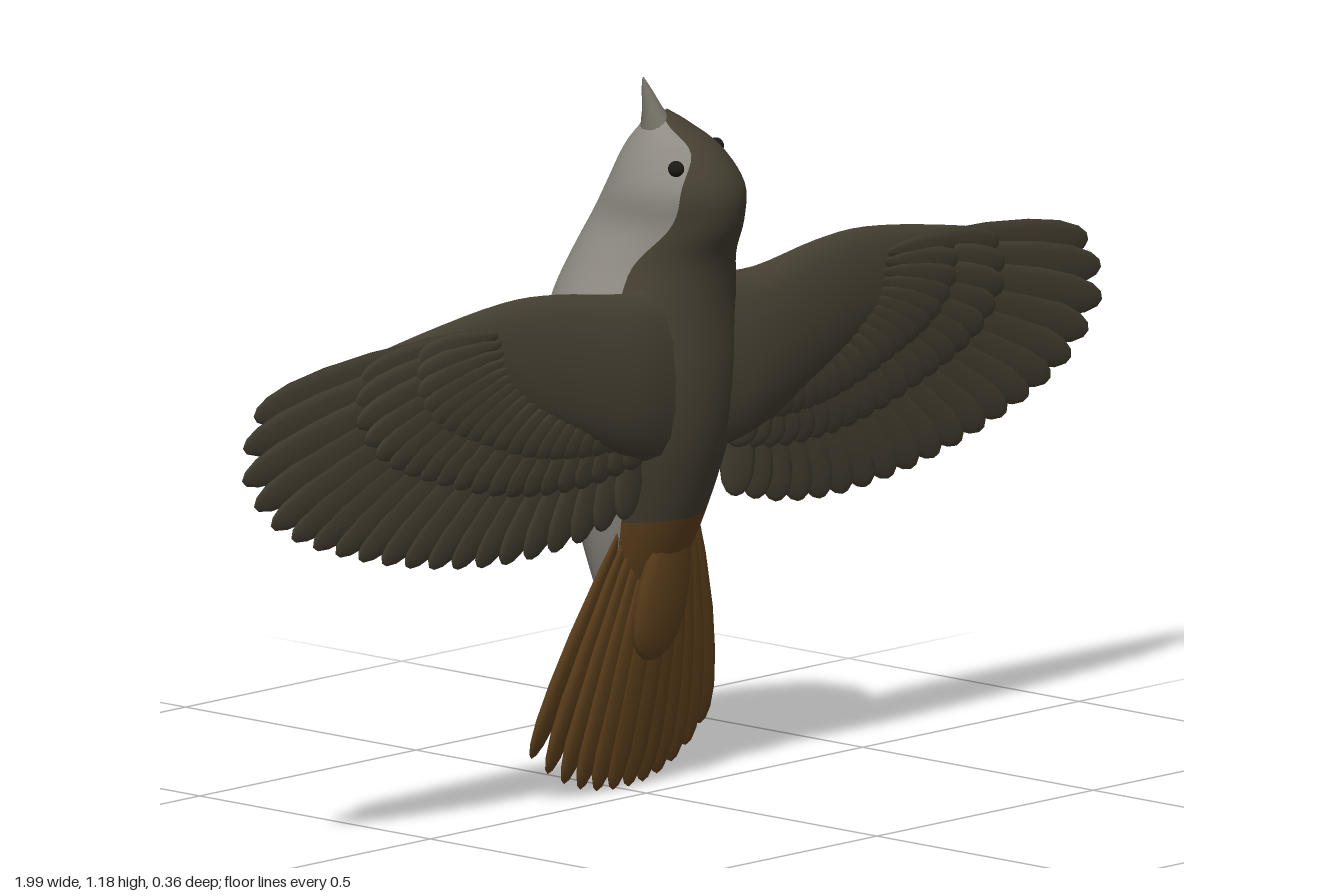
import * as THREE from 'three';

const V = (x, y, z) => new THREE.Vector3(x, y, z);
const mat = (name, color) => {
  const m = new THREE.MeshStandardMaterial({ color });
  m.name = name;
  return m;
};
const smooth = (points) => new THREE.CatmullRomCurve3(points, false, 'catmullrom', 0.5);

// Elliptical ring of points around a centre, with half axes u and v
function ring(c, u, v, n = 16) {
  return Array.from({ length: n }, (_, j) => {
    const a = (j / n) * Math.PI * 2;
    return c.clone().addScaledVector(u, Math.cos(a)).addScaledVector(v, Math.sin(a));
  });
}

// Smooth skin over closed rings; slot(i, j) picks a material index per face
function loft(rings, slot = () => 0) {
  const n = rings[0].length;
  const faces = [[], [], []];
  for (let i = 0; i < rings.length - 1; i++) {
    for (let j = 0; j < n; j++) {
      const k = (j + 1) % n;
      const a = i * n + j, b = i * n + k, c = a + n, d = b + n;
      faces[slot(i, j)].push(a, b, c, b, d, c);
    }
  }
  const g = new THREE.BufferGeometry().setFromPoints(rings.flat());
  g.setIndex(faces.flat());
  let start = 0;
  faces.forEach((f, i) => {
    if (f.length) g.addGroup(start, f.length, i);
    start += f.length;
  });
  g.computeVertexNormals();
  return g;
}

export function createModel() {
  const bird = new THREE.Group();
  bird.name = 'bird';
  const grey = mat('bellyGrey', 0x938f87);
  const dark = mat('backOlive', 0x484234);
  const brown = mat('tailBrown', 0x65451f);
  const horn = mat('beakGrey', 0x7c786d);
  const black = mat('eyeBlack', 0x1d1a16);

  const add = (parent, name, geometry, material) => {
    const m = new THREE.Mesh(geometry, material);
    m.name = name;
    parent.add(m);
    return m;
  };

  // Body and head: y, centre x, half width, back z, belly z, z of the colour edge
  const sections = [
    [1.125, -0.042, 0.012, 0.08, 0.05, 0.07],
    [1.10, -0.03, 0.04, 0.108, 0.03, 0.09],
    [1.06, -0.012, 0.075, 0.147, -0.012, 0.12],
    [1.0, 0, 0.103, 0.178, -0.05, 0.105],
    [0.94, 0.005, 0.108, 0.173, -0.09, 0.095],
    [0.88, 0.003, 0.125, 0.148, -0.122, 0.07],
    [0.8, 0, 0.15, 0.14, -0.153, 0.06],
    [0.7, 0, 0.163, 0.14, -0.17, 0.055],
    [0.6, 0, 0.15, 0.128, -0.153, 0.05],
    [0.5, 0, 0.122, 0.1, -0.122, 0.045],
    [0.4, 0, 0.092, 0.06, -0.098, 0.015],
    [0.3, 0, 0.052, 0.005, -0.073, -0.03],
    [0.22, 0, 0.003, -0.045, -0.058, -0.052],
  ];
  const widths = smooth(sections.map((s) => V(s[0], s[1], s[2])));
  const depths = smooth(sections.map((s) => V(s[3], s[4], s[5])));
  const steps = 60, half = 18, ys = [];
  const bodyRings = Array.from({ length: steps + 1 }, (_, i) => {
    const { x: y, y: cx, z: rx } = widths.getPoint(i / steps);
    const { x: front, y: rear, z: edge } = depths.getPoint(i / steps);
    const cz = (front + rear) / 2, rz = (front - rear) / 2;
    ys.push(y);
    // The head is turned, so its cap is rolled to one side
    const twist = 0.4 * THREE.MathUtils.smoothstep(y, 0.86, 1);
    const a0 = Math.asin(THREE.MathUtils.clamp((edge - cz) / rz, -0.9, 0.9));
    const a1 = Math.PI - a0 - twist;
    return Array.from({ length: half * 2 }, (_, j) => {
      const a = j < half
        ? a0 + ((a1 - a0) * j) / half
        : a1 + ((a0 + Math.PI * 2 - a1) * (j - half)) / half;
      return V(cx + rx * Math.cos(a), y, cz + rz * Math.sin(a));
    });
  });
  add(bird, 'body', loft(bodyRings, (i, j) => (j >= half ? 0 : ys[i] > 0.47 ? 1 : 2)), [grey, dark, brown]);

  // Beak, from the tip down into the face
  const beak = [[-0.074, 1.18, 0.062, 0.001], [-0.068, 1.16, 0.064, 0.008],
    [-0.058, 1.13, 0.067, 0.016], [-0.043, 1.095, 0.068, 0.03]];
  add(bird, 'beak', loft(beak.map(([x, y, z, r]) => ring(V(x, y, z), V(r, 0, 0), V(0, 0, r)))), horn);

  // Eyes
  [['leftEye', 0.056, 1.055, 0.098], ['rightEye', -0.07, 1.04, 0.13]].forEach(([name, x, y, z]) => {
    add(bird, name, new THREE.SphereGeometry(0.013, 14, 10), black).position.set(x, y, z);
  });

  // One unit feather: a flattened spindle with a rounded tip
  const outline = [[0.01, 0], [0.2, 0.02], [0.65, 0.25], [0.95, 0.5], [1, 0.7], [0.88, 0.85],
    [0.62, 0.94], [0.32, 0.985], [0, 1]].map(([x, y]) => new THREE.Vector2(x, y));
  const featherShape = new THREE.LatheGeometry(outline, 10);
  const feather = (parent, name, material, root, tip, width, thick, roll) => {
    const m = add(parent, name, featherShape, material);
    const along = tip.clone().sub(root);
    const length = along.length();
    along.normalize();
    const side = along.clone().cross(V(0, 0, 1)).normalize().applyAxisAngle(along, roll);
    const face = side.clone().cross(along);
    m.quaternion.setFromRotationMatrix(new THREE.Matrix4().makeBasis(side, along, face));
    m.position.copy(root);
    m.scale.set(width / 2, length, thick / 2);
  };

  // Wings
  const arm = [ // x, leading y, trailing y, z, half thickness
    [0.05, 0.85, 0.56, 0.085, 0.04], [0.15, 0.845, 0.58, 0.09, 0.042], [0.3, 0.865, 0.64, 0.085, 0.034],
    [0.42, 0.868, 0.69, 0.08, 0.025], [0.6, 0.843, 0.74, 0.07, 0.016], [0.8, 0.803, 0.765, 0.058, 0.007],
    [0.9, 0.78, 0.772, 0.055, 0.002],
  ];
  const roots = [[0.45, 0.825, 0.08], [0.42, 0.77, 0.08], [0.36, 0.73, 0.08], [0.28, 0.69, 0.082],
    [0.2, 0.67, 0.085], [0.12, 0.66, 0.085]];
  const tips = [[0.965, 0.762, 0.053], [1, 0.69, 0.056], [0.975, 0.63, 0.054], [0.92, 0.575, 0.053],
    [0.8, 0.52, 0.053], [0.62, 0.47, 0.056], [0.43, 0.443, 0.06], [0.27, 0.447, 0.068], [0.13, 0.475, 0.075]];
  for (const s of [1, -1]) {
    const wing = new THREE.Group();
    wing.name = s > 0 ? 'leftWing' : 'rightWing';
    bird.add(wing);
    const armA = smooth(arm.map((p) => V(p[0], p[1], p[2])));
    const armB = smooth(arm.map((p) => V(p[3], p[4], 0)));
    const armRings = Array.from({ length: 25 }, (_, i) => {
      const { x, y: top, z: low } = armA.getPoint(i / 24);
      const { x: z, y: r } = armB.getPoint(i / 24);
      return ring(V(s * x, (top + low) / 2, z), V(0, (top - low) / 2, 0), V(0, 0, s * r));
    });
    add(wing, 'wingArm', loft(armRings), dark);

    const rootCurve = smooth(roots.map(([x, y, z]) => V(s * x, y, z)));
    const tipCurve = smooth(tips.map(([x, y, z]) => V(s * x, y, z)));
    const count = 20;
    for (let i = 0; i < count; i++) {
      const t = i / (count - 1);
      const root = rootCurve.getPoint(t), tip = tipCurve.getPointAt(t);
      feather(wing, 'flightFeather', dark, root, tip, 0.082 - 0.008 * t, 0.014, s * 0.12);
      // Two shorter rows cover the feather roots on the upper side, one below
      [[0.56, 0.012, 0.07], [0.34, 0.022, 0.06], [0.5, -0.01, 0.07]].forEach(([reach, lift, w]) => {
        const from = root.clone().add(V(0, 0, lift));
        const to = root.clone().lerp(tip, reach).add(V(0, 0, lift * 0.6));
        feather(wing, 'covertFeather', dark, from, to, w, 0.014, s * 0.15);
      });
    }
  }

  // Tail fan
  const tail = new THREE.Group();
  tail.name = 'tail';
  bird.add(tail);
  for (let i = 0; i < 12; i++) {
    const u = (i / 11) * 2 - 1, e = Math.abs(u);
    const root = V(u * 0.075, 0.47, 0.055 - 0.025 * e);
    const tip = V(u * 0.195, 0.004 + 0.075 * e ** 2.5, -0.055 - 0.012 * e);
    feather(tail, 'tailFeather', brown, root, tip, 0.066, 0.02, u * 0.25);
  }
  feather(tail, 'tailCovert', brown, V(0, 0.5, 0.07), V(0, 0.22, 0.01), 0.12, 0.03, 0);

  // Tucked legs on the belly
  const leg = [[0.72, -0.15, 0.004], [0.69, -0.153, 0.022], [0.65, -0.158, 0.023], [0.62, -0.156, 0.015],
    [0.6, -0.158, 0.014], [0.587, -0.156, 0.002]];
  for (const s of [1, -1]) {
    const rings = leg.map(([y, z, r]) => ring(V(s * 0.05, y, z), V(r * 1.1, 0, 0), V(0, 0, r)));
    add(bird, s > 0 ? 'leftLeg' : 'rightLeg', loft(rings), grey);
  }
  return bird;
}
